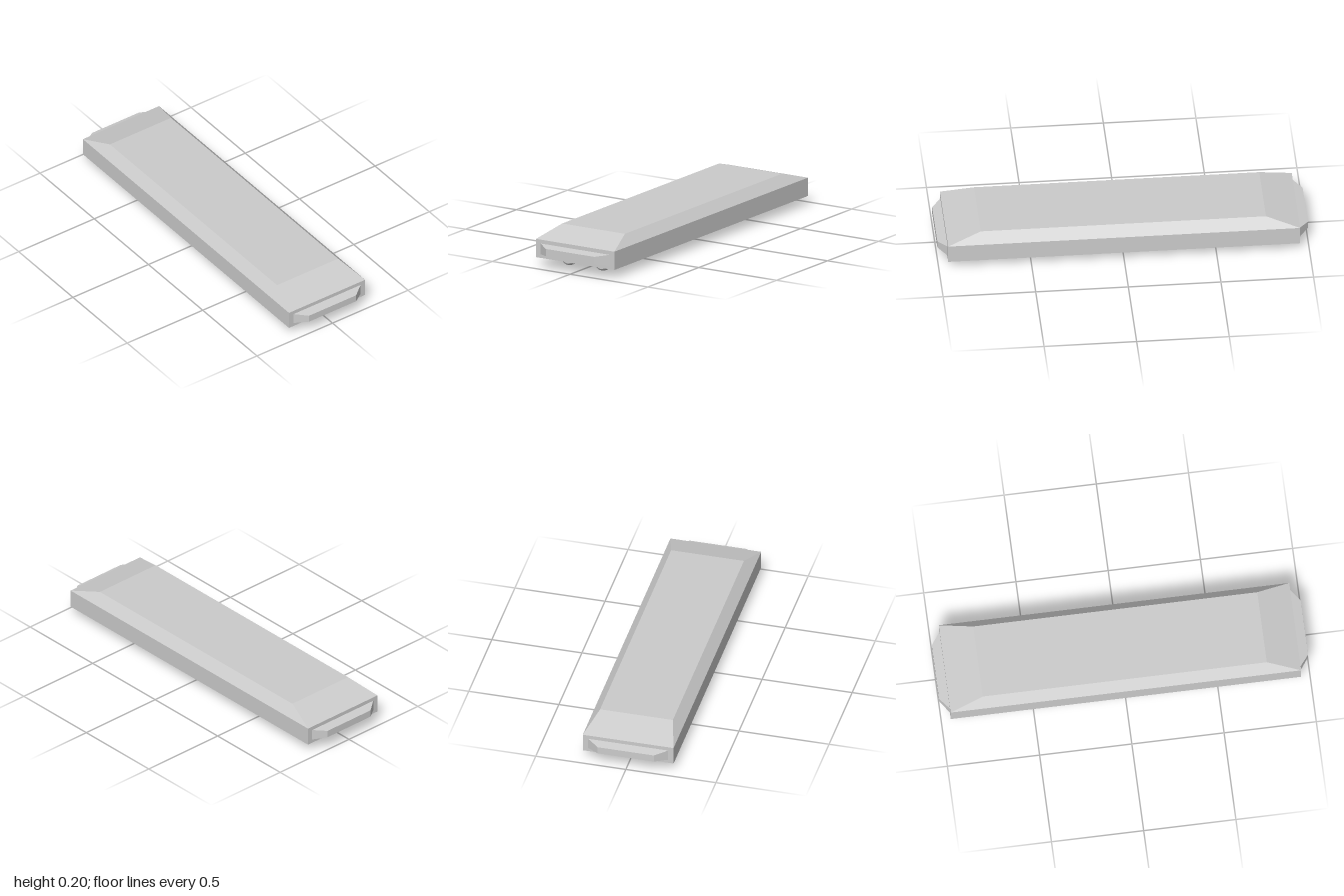
import * as THREE from 'three';

const grey = new THREE.MeshStandardMaterial({ color: 0xcccccc });

function part(name, geometry, parent) {
  const mesh = new THREE.Mesh(geometry, grey);
  mesh.name = name;
  parent.add(mesh);
  return mesh;
}

// Box stack whose levels are rectangles [height, halfX, halfZ], with flat faces
function stackedBox(levels) {
  const n = levels.length - 1;
  const box = new THREE.BoxGeometry(2, n, 2, 1, n, 1);
  const p = box.attributes.position;
  for (let i = 0; i < p.count; i++) {
    const [y, hx, hz] = levels[Math.round(p.getY(i) + n / 2)];
    p.setXYZ(i, p.getX(i) * hx, y, p.getZ(i) * hz);
  }
  const flat = box.toNonIndexed();
  flat.computeVertexNormals();
  return flat;
}

// Smooth surface turned around its own y axis from [radius, height] points
function turned(profile) {
  return new THREE.LatheGeometry(profile.map(([r, h]) => new THREE.Vector2(r, h)), 40);
}

export function createModel() {
  const model = new THREE.Group();
  model.name = 'tubeLightFixture';

  // Housing: recessed underside, straight sides, sloped top
  part('housing', stackedBox([
    [0.1035, 0.77, 0.202], [0.0485, 0.95, 0.252], [0.15, 0.95, 0.252], [0.2035, 0.77, 0.202],
  ]), model);

  // Tapered plates on both ends
  for (const side of [-1, 1]) {
    const plate = part('endPlate', stackedBox([[0, 0.03, 0.222], [0.05, 0.02, 0.156]]), model);
    plate.rotation.z = -side * Math.PI / 2;
    plate.position.set(side * 0.95, 0.0985, 0);
  }

  // Two lamps under the housing, each with a rounded cap at both ends
  const tube = turned([[0.037, -0.79], [0.037, 0.79]]);
  const cap = turned([
    [0.037, 0.768], [0.044, 0.771], [0.049, 0.778], [0.0505, 0.786],
    [0.0505, 0.836], [0.049, 0.844], [0.0445, 0.851], [0.038, 0.855],
  ]);
  const disc = new THREE.CircleGeometry(0.038, 40).rotateX(-Math.PI / 2).translate(0, 0.855, 0);
  for (const z of [0.113, -0.101]) {
    const lamp = new THREE.Group();
    lamp.name = 'lamp';
    lamp.position.set(0, 0.0505, z);
    lamp.rotation.z = -Math.PI / 2;
    model.add(lamp);

    part('lampTube', tube, lamp);
    for (const turn of [0, Math.PI]) {
      part('lampCap', cap, lamp).rotation.z = turn;
      part('lampCapEnd', disc, lamp).rotation.z = turn;
    }
  }
  return model;
}
